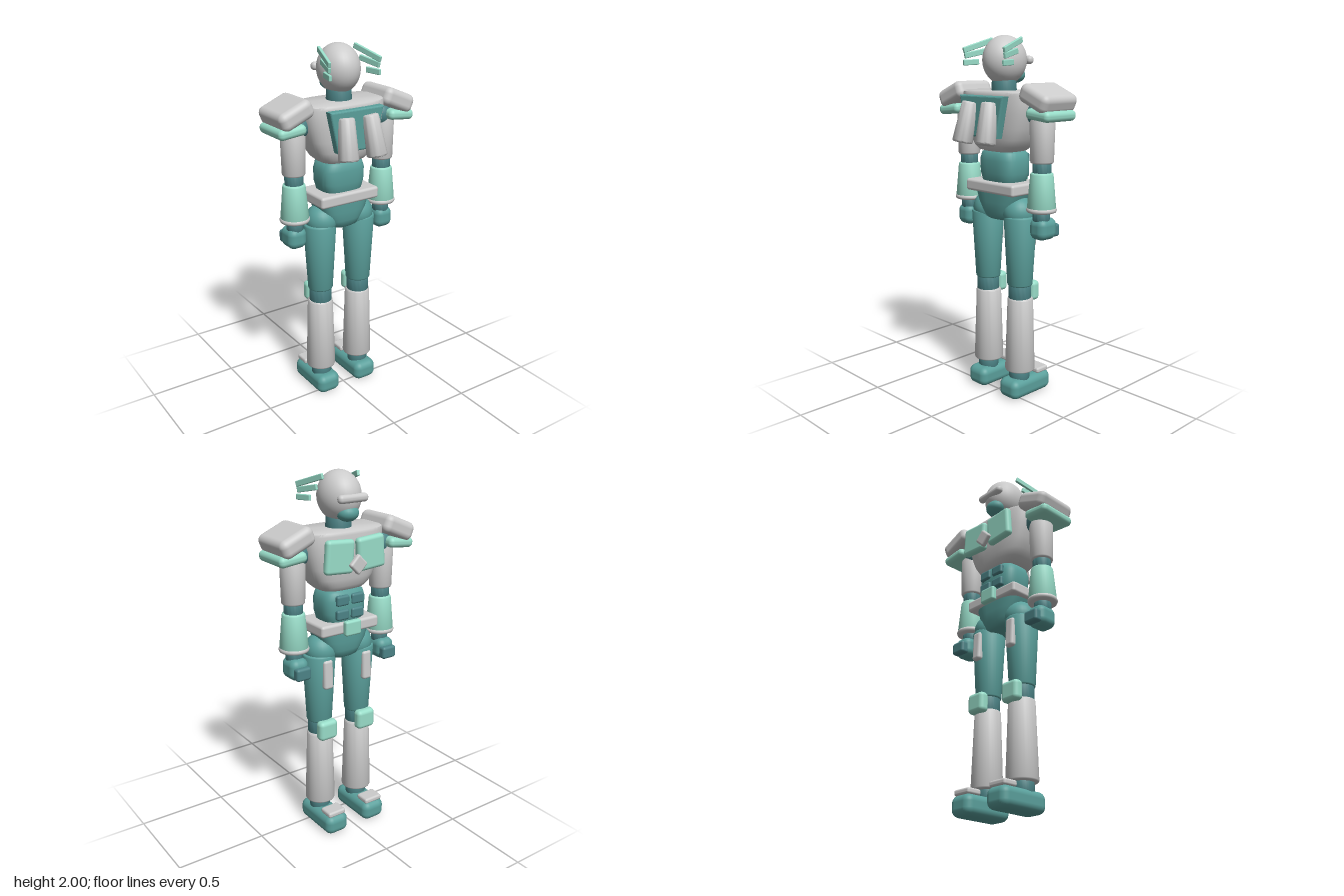
import * as THREE from 'three';
import { RoundedBoxGeometry } from 'three/addons/geometries/RoundedBoxGeometry.js';
import { toCreasedNormals } from 'three/addons/utils/BufferGeometryUtils.js';

const paint = (c) => new THREE.MeshStandardMaterial({ color: c });
const LIGHT = paint(0xcccccc), TEAL = paint(0x5a9f9b), MINT = paint(0x98dcc8), JOINT = paint(0x4c8386);
const CZ = -0.04; // body axis in z

function add(parent, name, geometry, material, pos = [0, 0, 0], rot = [0, 0, 0]) {
  const m = new THREE.Mesh(geometry, material);
  m.name = name;
  m.position.set(...pos);
  m.rotation.set(...rot);
  parent.add(m);
  return m;
}

const box = (w, h, d, r = 0.02) => new RoundedBoxGeometry(w, h, d, 4, Math.min(r, w / 2.01, h / 2.01, d / 2.01));

// Round limb with softened rims, from y0 up to y1
function limb(r0, r1, y0, y1, b = 0.01) {
  const pts = [[0.0001, y0], [r0 - b, y0], [r0 - b * 0.3, y0 + b * 0.3], [r0, y0 + b],
    [r1, y1 - b], [r1 - b * 0.3, y1 - b * 0.3], [r1 - b, y1], [0.0001, y1]];
  return toCreasedNormals(new THREE.LatheGeometry(pts.map(p => new THREE.Vector2(...p)), 32), 0.9);
}

// Stack of superellipse rings [y, halfX, halfZ, centreZ], listed upwards
function loft(rings, power, n = 48) {
  const pos = [], idx = [];
  const soft = (v) => Math.sign(v) * Math.pow(Math.abs(v), 2 / power);
  const all = [[rings[0][0], 0.001, 0.001, rings[0][3]], ...rings,
    [rings.at(-1)[0], 0.001, 0.001, rings.at(-1)[3]]];
  all.forEach(([y, hx, hz, cz], i) => {
    for (let j = 0; j < n; j++) {
      const a = (j / n) * Math.PI * 2;
      pos.push(hx * soft(Math.cos(a)), y, cz + hz * soft(Math.sin(a)));
      if (i === all.length - 1) continue;
      const p = i * n + j, q = i * n + (j + 1) % n;
      idx.push(p, p + n, q, q, p + n, q + n);
    }
  });
  const g = new THREE.BufferGeometry();
  g.setAttribute('position', new THREE.Float32BufferAttribute(pos, 3));
  g.setIndex(idx);
  return toCreasedNormals(g, 0.8);
}

// Stretch a mesh's +y axis from a to b
function aim(mesh, a, b) {
  const A = new THREE.Vector3(...a), B = new THREE.Vector3(...b);
  mesh.position.copy(A).add(B).multiplyScalar(0.5);
  mesh.quaternion.setFromUnitVectors(new THREE.Vector3(0, 1, 0), B.sub(A).normalize());
}

function buildHead(g) {
  add(g, 'helmet', new THREE.SphereGeometry(1, 32, 22), LIGHT, [0, 1.87, -0.044]).scale.set(0.11, 0.13, 0.128);
  add(g, 'chinGuard', new THREE.SphereGeometry(1, 24, 16), TEAL, [0, 1.792, -0.118]).scale.set(0.06, 0.045, 0.057);
  add(g, 'visor', box(0.18, 0.044, 0.042, 0.02), LIGHT, [0, 1.87, -0.163]);
  add(g, 'neck', limb(0.07, 0.065, 1.68, 1.78), JOINT, [0, 0, CZ]);
  // Swept-back fins on each side of the helmet
  const fins = [[[0.11, 1.975, -0.06], [0.155, 1.92, 0.112]],
    [[0.118, 1.918, -0.02], [0.152, 1.892, 0.106]],
    [[0.13, 1.86, 0.024], [0.152, 1.856, 0.114]]];
  for (const s of [1, -1]) for (const [a, b] of fins) {
    const A = new THREE.Vector3(s * a[0], a[1], a[2]), B = new THREE.Vector3(s * b[0], b[1], b[2]);
    const fin = add(g, 'headFin', box(0.016, 0.03, A.distanceTo(B), 0.004), MINT);
    fin.position.copy(A).add(B).multiplyScalar(0.5);
    fin.lookAt(B);
  }
}

function buildTorso(g) {
  add(g, 'chest', loft([
    [1.388, 0.10, 0.075, -0.035], [1.395, 0.13, 0.095, -0.035], [1.42, 0.16, 0.112, -0.035],
    [1.46, 0.187, 0.123, -0.035], [1.52, 0.212, 0.13, -0.035], [1.6, 0.232, 0.135, -0.035],
    [1.69, 0.246, 0.135, -0.035], [1.705, 0.243, 0.132, -0.035], [1.712, 0.23, 0.122, -0.035]], 3.2), LIGHT);
  for (const s of [1, -1])
    add(g, 'chestPlate', box(0.17, 0.175, 0.045, 0.02), MINT, [s * 0.098, 1.59, -0.183], [0, 0, s * 0.07]);
  add(g, 'chestEmblemPlate', box(0.08, 0.08, 0.03, 0.012), LIGHT, [0, 1.545, -0.212], [0, 0, Math.PI / 4]);

  // Abdomen, muscle blocks, belt and pelvis
  add(g, 'abdomen', loft([
    [1.2, 0.1, 0.08, -0.045], [1.225, 0.118, 0.092, -0.045], [1.27, 0.13, 0.1, -0.045],
    [1.34, 0.133, 0.102, -0.045], [1.38, 0.12, 0.095, -0.045], [1.395, 0.1, 0.08, -0.045]], 3.2), TEAL);
  for (const s of [1, -1]) for (const y of [1.345, 1.268])
    add(g, 'abdomenBlock', box(0.078, 0.056, 0.03, 0.012), JOINT, [s * 0.047, y, -0.143]);
  add(g, 'belt', box(0.368, 0.064, 0.235, 0.015), LIGHT, [0, 1.194, -0.04]);
  add(g, 'buckle', box(0.1, 0.082, 0.035, 0.012), MINT, [0, 1.196, -0.168]);
  add(g, 'pelvis', loft([
    [1.015, 0.07, 0.07, -0.042], [1.025, 0.09, 0.083, -0.042], [1.06, 0.112, 0.095, -0.042],
    [1.11, 0.14, 0.102, -0.042], [1.175, 0.165, 0.105, -0.042]], 3.2), TEAL);

  // Backpack plate with two tilted thrusters
  const plate = new THREE.Shape();
  plate.moveTo(-0.11, 1.48);
  plate.lineTo(0.11, 1.48);
  plate.lineTo(0.155, 1.68);
  plate.lineTo(-0.155, 1.68);
  plate.closePath();
  add(g, 'backpackPlate', new THREE.ExtrudeGeometry(plate,
    { depth: 0.03, bevelSize: 0.01, bevelThickness: 0.01, bevelSegments: 3 }), TEAL, [0, 0, 0.094]);
  for (const s of [1, -1]) {
    const t = add(g, 'thruster', limb(0.055, 0.043, -0.11, 0.11), LIGHT);
    aim(t, [s * 0.09, 1.44, 0.183], [s * 0.074, 1.655, 0.138]);
  }
}

function buildArm(s) {
  const g = new THREE.Group();
  g.name = s > 0 ? 'leftArm' : 'rightArm';
  const x = s * 0.284;
  add(g, 'shoulderJoint', new THREE.SphereGeometry(0.07, 24, 16), JOINT, [s * 0.265, 1.6, CZ]);
  add(g, 'shoulderPad', box(0.2, 0.1, 0.255, 0.035), LIGHT, [s * 0.317, 1.682, -0.043], [0, 0, -s * 0.4]);
  add(g, 'shoulderTrim', box(0.16, 0.056, 0.23, 0.025), MINT, [s * 0.34, 1.6, -0.041], [0, 0, -s * 0.1]);
  add(g, 'upperArm', limb(0.062, 0.068, 1.345, 1.62), LIGHT, [x, 0, CZ]);
  add(g, 'elbow', limb(0.05, 0.05, 1.27, 1.36), JOINT, [x, 0, CZ]);
  add(g, 'forearm', limb(0.077, 0.061, 1.1, 1.297), MINT, [x, 0, CZ]);
  add(g, 'cuff', limb(0.081, 0.081, 1.085, 1.114, 0.012), LIGHT, [x, 0, CZ]);
  add(g, 'wrist', limb(0.046, 0.046, 1.03, 1.1), JOINT, [x, 0, CZ]);
  add(g, 'fist', box(0.11, 0.118, 0.13, 0.04), TEAL, [x + s * 0.002, 0.996, -0.052]);
  add(g, 'fingers', box(0.09, 0.07, 0.05, 0.015), JOINT, [x, 0.982, -0.117]);
  return g;
}

function buildLeg(s) {
  const g = new THREE.Group();
  g.name = s > 0 ? 'leftLeg' : 'rightLeg';
  const x = s * 0.128;
  add(g, 'hip', new THREE.SphereGeometry(0.09, 28, 18), TEAL, [s * 0.117, 1.06, CZ]);
  add(g, 'thigh', limb(0.07, 0.091, 0.65, 1.045), TEAL, [x, 0, CZ]);
  add(g, 'thighPlate', box(0.058, 0.165, 0.04, 0.016), LIGHT, [x, 0.942, -0.122], [0.04, 0, 0]);
  add(g, 'knee', limb(0.063, 0.063, 0.56, 0.67), JOINT, [x, 0, CZ]);
  add(g, 'kneePad', box(0.115, 0.112, 0.06, 0.024), MINT, [x, 0.612, -0.115]);
  add(g, 'shin', limb(0.084, 0.071, 0.152, 0.582), LIGHT, [x, 0, -0.044]);
  add(g, 'ankle', limb(0.058, 0.058, 0.09, 0.165), JOINT, [x, 0, CZ]);
  add(g, 'foot', box(0.142, 0.112, 0.3, 0.04), TEAL, [x, 0.056, -0.085]);
  add(g, 'toePlate', box(0.112, 0.032, 0.088, 0.012), LIGHT, [x, 0.124, -0.176]);
  return g;
}

export function createModel() {
  const model = new THREE.Group();
  model.name = 'armouredFigure';
  const head = new THREE.Group(), torso = new THREE.Group();
  head.name = 'head';
  torso.name = 'torso';
  buildHead(head);
  buildTorso(torso);
  model.add(head, torso);
  for (const s of [1, -1]) model.add(buildArm(s), buildLeg(s));
  return model;
}
